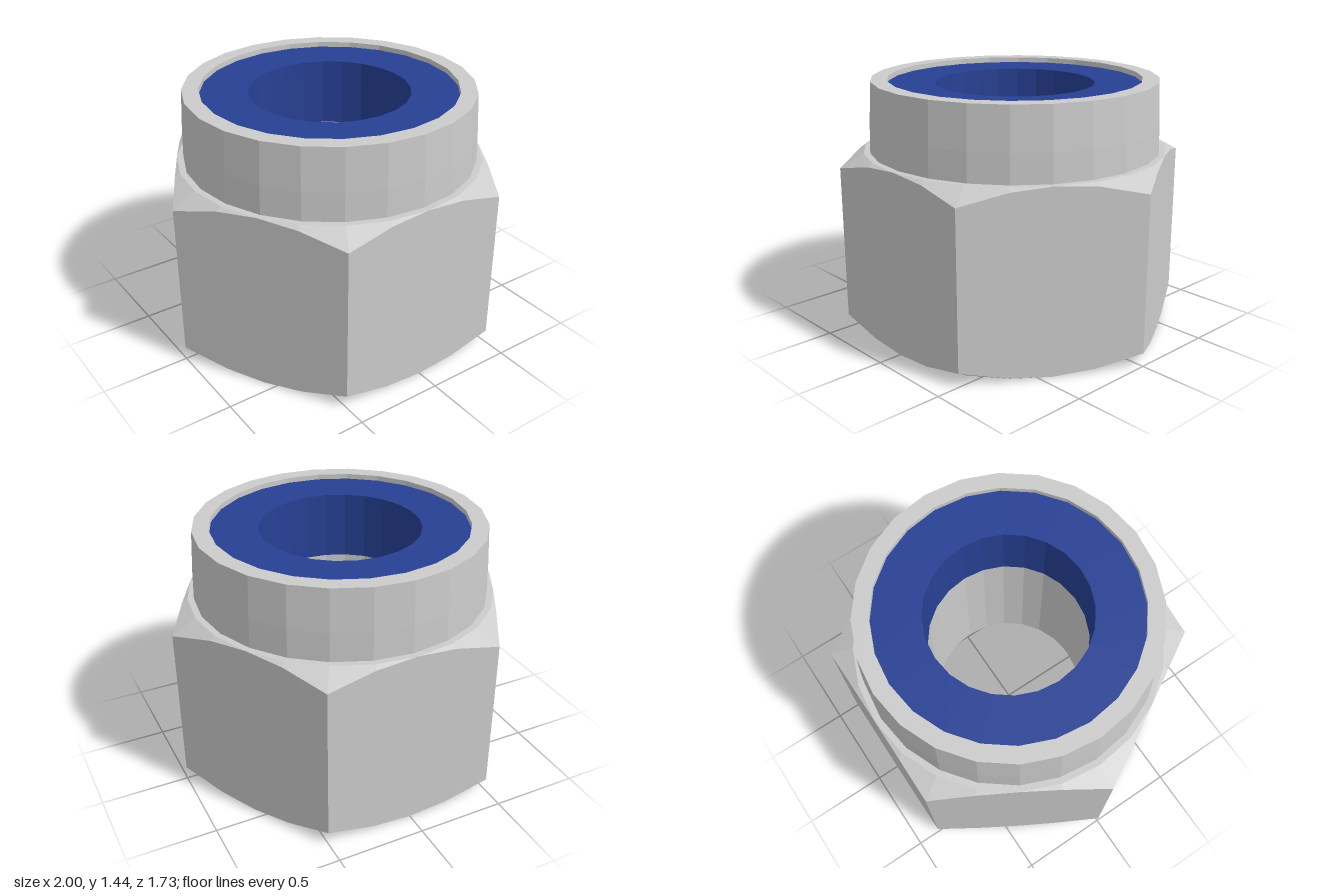
import * as THREE from 'three';

const SIDES = 24;
const APOTHEM = 0.866;
const HEX_TOP = 1.04;
const CHAMFER_SLOPE = 0.575;

// Faceted solid of revolution with the outline given as [radius, y] pairs.
function turned(profile) {
  return new THREE.LatheGeometry(profile.map(([r, y]) => new THREE.Vector2(r, y)), SIDES);
}

function faceted(name, geometry, color) {
  const flat = geometry.toNonIndexed();
  flat.computeVertexNormals();
  const mesh = new THREE.Mesh(flat, new THREE.MeshStandardMaterial({ color, flatShading: true }));
  mesh.name = name;
  return mesh;
}

export function createModel() {
  const model = new THREE.Group();
  model.name = 'lockNut';

  // Metal body: bore, countersink, hexagon, collar and lip in one closed outline.
  // Points at radius 1 are the hexagon's edges, fitted to the flats below.
  const body = turned([
    [0.455, 1.02], [0.455, 0.15], [0.61, 0], [APOTHEM, 0],
    [1, 0], [1, HEX_TOP],
    [APOTHEM, HEX_TOP], [0.83, HEX_TOP], [0.826, 1.2], [0.813, 1.44],
    [0.72, 1.44], [0.72, 1.02], [0.455, 1.02],
  ]);

  // Pull the radius-1 rings onto six flats and bevel them along a cone.
  const pos = body.attributes.position;
  for (let i = 0; i < pos.count; i++) {
    const x = pos.getX(i), y = pos.getY(i), z = pos.getZ(i);
    if (Math.hypot(x, z) < 0.95) continue;
    const angle = Math.atan2(x, z);
    const step = Math.PI / 3;
    const local = angle - step * Math.round(angle / step);
    const radius = APOTHEM / Math.cos(local);
    const drop = (radius - APOTHEM) * CHAMFER_SLOPE;
    pos.setXYZ(i, radius * Math.sin(angle), y > 0.5 ? y - drop : y + drop, radius * Math.cos(angle));
  }
  model.add(faceted('hexBody', body, 0xcccccc));

  // Plastic locking ring, set slightly below the lip.
  const ring = turned([[0.72, 1.02], [0.72, 1.41], [0.452, 1.41], [0.452, 1.02], [0.72, 1.02]]);
  model.add(faceted('lockingRing', ring, 0x274094));

  return model;
}
